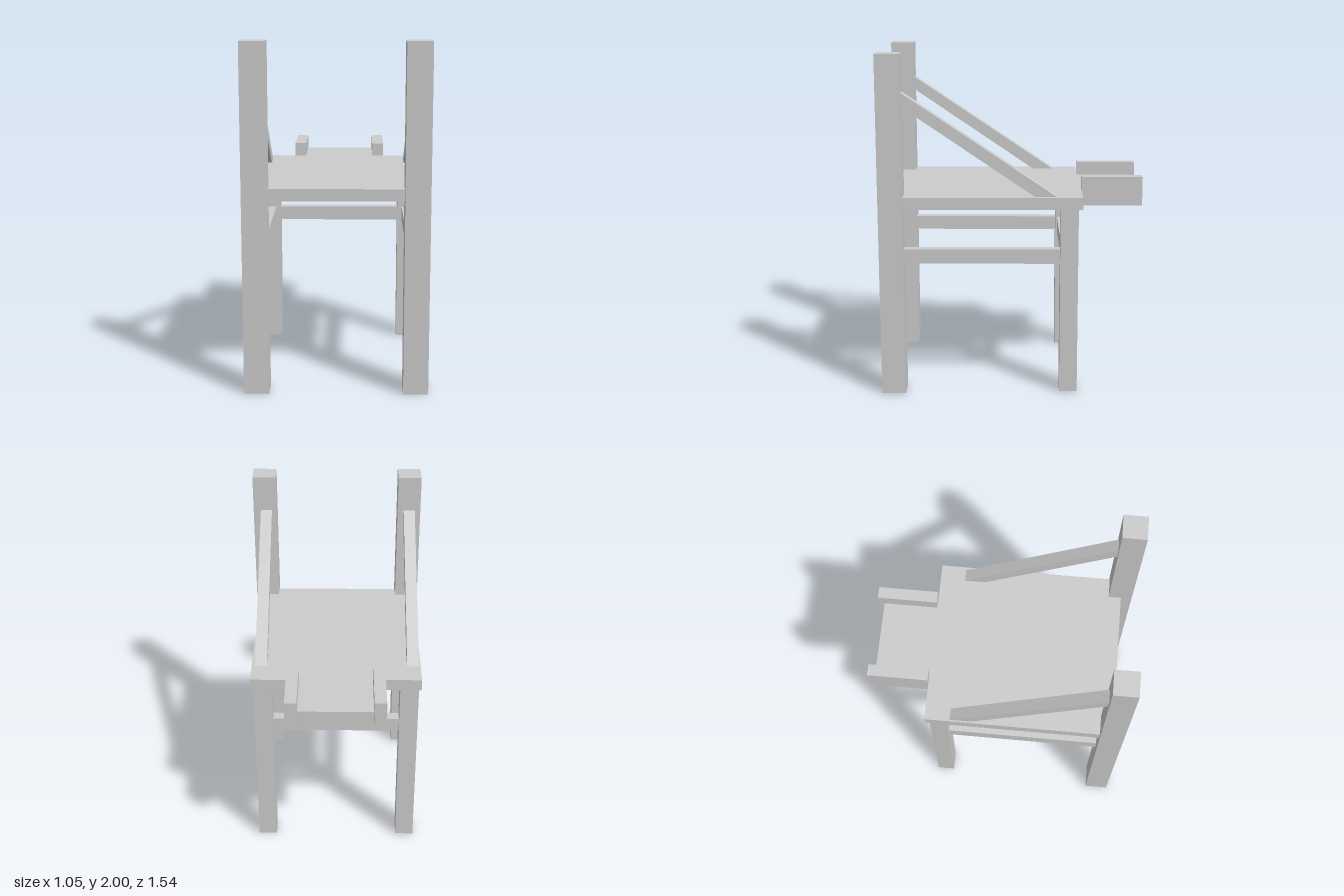
import * as THREE from 'three';

export function createModel() {
  const model = new THREE.Group();
  model.name = 'chair';
  const wood = new THREE.MeshStandardMaterial({ color: 0xcccccc, side: THREE.DoubleSide });
  wood.name = 'pale grey';

  const add = (name, geometry) => {
    const mesh = new THREE.Mesh(geometry, wood);
    mesh.name = name;
    model.add(mesh);
  };

  // Box given by its limits on each axis
  const box = (x0, x1, y0, y1, z0, z1) =>
    new THREE.BoxGeometry(x1 - x0, y1 - y0, z1 - z0)
      .translate((x0 + x1) / 2, (y0 + y1) / 2, (z0 + z1) / 2);

  // Hollow leg: a box without its bottom face
  const leg = (...limits) => {
    const g = box(...limits);
    const index = Array.from(g.index.array);
    index.splice(18, 6);
    g.setIndex(index);
    g.clearGroups();
    return g;
  };

  const extrude = (points, depth) =>
    new THREE.ExtrudeGeometry(
      new THREE.Shape(points.map(([x, y]) => new THREE.Vector2(x, y))),
      { depth, bevelEnabled: false });

  // Seat board with a narrower tongue at the back (outline in x, -z)
  add('seat', extrude([
    [-0.5, -0.705], [0.5, -0.705], [0.5, 0.41], [0.215, 0.41],
    [0.215, 0.735], [-0.215, 0.735], [-0.215, 0.41], [-0.5, 0.41],
  ], 0.07).rotateX(-Math.PI / 2).translate(0, 1.11, 0));

  for (const [side, s] of [['left', 1], ['right', -1]]) {
    const mirrored = (a, b) => (s > 0 ? [a, b] : [-b, -a]);

    // Tall front posts and short back legs
    add(side + 'FrontPost', leg(...mirrored(0.382, 0.525), 0, 2, 0.63, 0.77));
    add(side + 'BackLeg', leg(...mirrored(0.377, 0.487), 0, 1.11, -0.385, -0.28));

    // Side stretcher and block beside the tongue
    add(side + 'Stretcher', box(...mirrored(0.405, 0.465), 0.78, 0.865, -0.28, 0.63));
    add(side + 'TongueBlock', box(...mirrored(0.215, 0.285), 1.09, 1.26, -0.77, -0.41));

    // Sloping brace from post down to seat (profile in z, y)
    const centre = s > 0 ? 0.445 : -0.455;
    add(side + 'Brace', extrude(
      [[0.63, 1.70], [0.63, 1.78], [-0.26, 1.18], [-0.135, 1.18]], 0.07)
      .rotateY(-Math.PI / 2).translate(centre + 0.035, 0, 0));
  }

  // Stretcher between the back legs
  add('backStretcher', box(-0.377, 0.377, 0.78, 0.865, -0.35, -0.29));

  return model;
}
